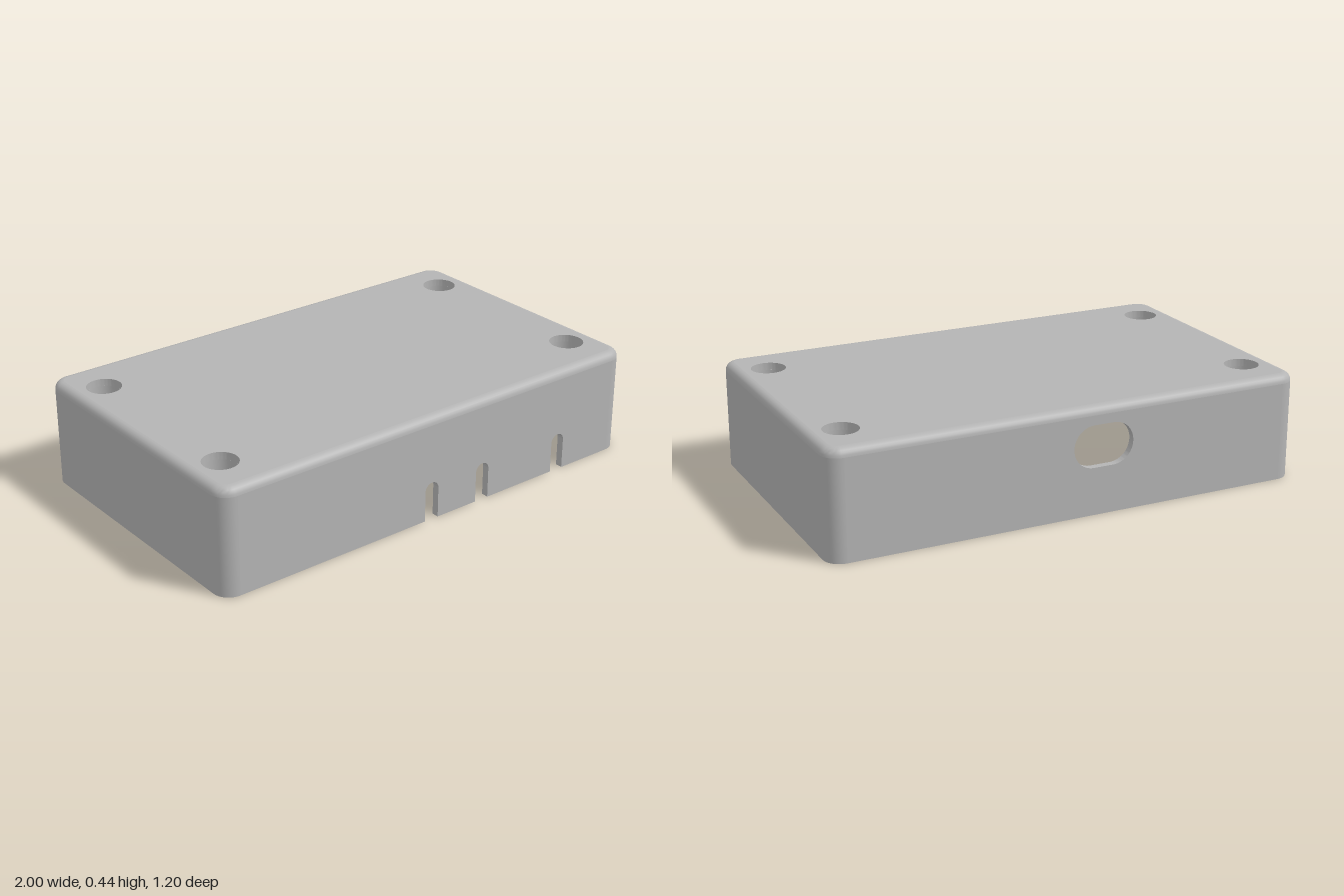
import * as THREE from 'three';
import { toCreasedNormals } from 'three/addons/utils/BufferGeometryUtils.js';

const W = 1, D = 0.6, H = 0.44;          // half width, half depth, height
const R = 0.07, T = 0.03, F = 0.035;     // corner radius, wall thickness, top fillet
const WALL = H - F, CEILING = H - T;
const POST_X = 0.865, POST_Z = 0.4, BORE = 0.07;

// One rounded plan corner (0..3, counter-clockwise), moved in by an inset
function corner(k, inset) {
  const sx = k === 0 || k === 3 ? 1 : -1, sy = k < 2 ? 1 : -1;
  const pts = [];
  for (let i = 0; i <= 12; i++) {
    const a = (k + i / 12) * Math.PI / 2, r = R - inset;
    pts.push(new THREE.Vector2(sx * (W - R) + r * Math.cos(a), sy * (D - R) + r * Math.sin(a)));
  }
  return pts;
}
const outline = (inset) => [0, 1, 2, 3].flatMap((k) => corner(k, inset));

function extrude(shape, depth) {
  return new THREE.ExtrudeGeometry(shape, { depth, bevelEnabled: false, curveSegments: 32 });
}

// Closed profile of [inset, y] points swept round the plan outline
function sweep(profile) {
  const pos = [], index = [], n = outline(0).length, m = profile.length;
  for (const [inset, y] of profile) for (const p of outline(inset)) pos.push(p.x, y, -p.y);
  for (let i = 0; i < m; i++) for (let j = 0; j < n; j++) {
    const i2 = (i + 1) % m, j2 = (j + 1) % n;
    const a = i * n + j, b = i * n + j2, c = i2 * n + j2, d = i2 * n + j;
    index.push(a, b, c, a, c, d);
  }
  const g = new THREE.BufferGeometry();
  g.setAttribute('position', new THREE.Float32BufferAttribute(pos, 3));
  g.setIndex(index);
  return g;
}

export function createModel() {
  const group = new THREE.Group();
  const plastic = new THREE.MeshStandardMaterial({ color: 0xb4b4b4 });
  plastic.name = 'grey plastic';
  const add = (name, geometry) => {
    const mesh = new THREE.Mesh(toCreasedNormals(geometry, Math.PI / 6), plastic);
    mesh.name = name;
    group.add(mesh);
    return mesh;
  };

  // Front wall with three round-topped cable slots
  const half = 0.0325, slotTop = 0.16 - half;
  const front = new THREE.Shape().moveTo(-(W - R), 0);
  for (const x of [-0.03, 0.23, 0.64]) {
    front.lineTo(x - half, 0).lineTo(x - half, slotTop);
    front.absarc(x, slotTop, half, Math.PI, 0, true);
    front.lineTo(x + half, 0);
  }
  front.lineTo(W - R, 0).lineTo(W - R, WALL).lineTo(-(W - R), WALL).closePath();
  add('frontWall', extrude(front, T).translate(0, 0, D - T));

  // Back wall with an oval opening
  const back = new THREE.Shape().moveTo(-(W - R), 0)
    .lineTo(W - R, 0).lineTo(W - R, WALL).lineTo(-(W - R), WALL).closePath();
  const ox = -0.12, oy = 0.28, or = 0.086, of = 0.042;
  const oval = new THREE.Path();
  oval.absarc(ox + of, oy, or, -Math.PI / 2, Math.PI / 2, false);
  oval.absarc(ox - of, oy, or, Math.PI / 2, Math.PI * 1.5, false);
  oval.closePath();
  back.holes.push(oval);
  add('backWall', extrude(back, T).translate(0, 0, -D));

  // End walls, each with its two rounded corners
  const outer = [...corner(3, 0), ...corner(0, 0)];
  const inner = [...corner(3, T), ...corner(0, T)].reverse();
  for (const [name, turn] of [['leftWall', 0], ['rightWall', Math.PI]]) {
    const g = extrude(new THREE.Shape([...outer, ...inner]), WALL).rotateX(-Math.PI / 2);
    add(name, g.rotateY(turn));
  }

  // Rounded edge between walls and top
  const profile = [];
  for (let i = 0; i <= 6; i++) {
    const a = i / 6 * Math.PI / 2;
    profile.push([F * (1 - Math.cos(a)), WALL + F * Math.sin(a)]);
  }
  profile.push([F, CEILING], [T, WALL]);
  add('topEdge', sweep(profile));

  // Top plate with four screw openings
  const top = new THREE.Shape(outline(F));
  const places = [[1, 1], [-1, 1], [-1, -1], [1, -1]].map(([x, z]) => [x * POST_X, z * POST_Z]);
  for (const [x, z] of places) {
    top.holes.push(new THREE.Path().absarc(x, -z, BORE, 0, Math.PI * 2, true));
  }
  add('topPlate', extrude(top, T).rotateX(-Math.PI / 2).translate(0, CEILING, 0));

  // Hollow screw posts: pilot hole below, wide bore above
  const post = [[0, 0.235], [0.03, 0.235], [0.03, 0.18], [0.095, 0.18], [0.095, CEILING],
    [BORE, CEILING], [BORE, 0.24], [0, 0.24]].map(([r, y]) => new THREE.Vector2(r, y));
  for (const [x, z] of places) {
    add('screwPost', new THREE.LatheGeometry(post, 32)).position.set(x, 0, z);
  }
  return group;
}
